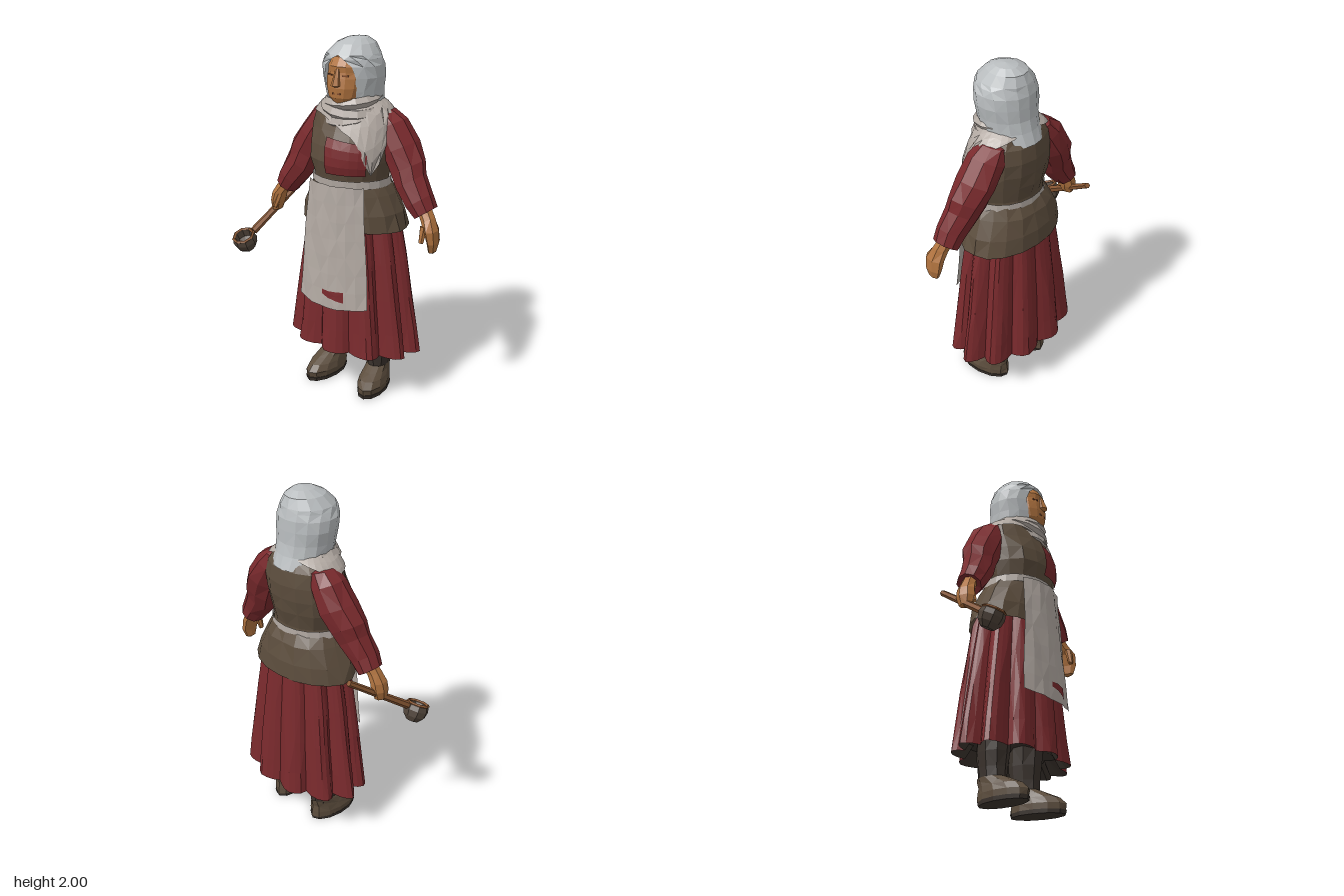
import * as THREE from 'three';

const CX = 0.055; // body axis
const RED = 0x7a2a2d, BROWN = 0x5c4d3d, CLOTH = 0xb3aaa3, HOOD = 0xb9bdbf, SKIN = 0xb0733f, DARK = 0x3b332d, WOOD = 0x8a5834;

const material = (color) =>
  new THREE.MeshStandardMaterial({ color, flatShading: true, side: THREE.DoubleSide });

const noise = (i, j) => {
  const s = Math.sin(i * 127.1 + j * 311.7) * 43758.5453;
  return (s - Math.floor(s)) * 2 - 1;
};

function addMesh(parent, name, geometry, color) {
  const mesh = new THREE.Mesh(geometry, material(color));
  mesh.name = name;
  parent.add(mesh);
  return mesh;
}

// Surface from point(u, v, column, row); u runs to the right, v upwards
function grid(nu, nv, point) {
  const pos = [], index = [];
  for (let i = 0; i <= nv; i++)
    for (let j = 0; j <= nu; j++) pos.push(...point(j / nu, i / nv, j, i));
  for (let i = 0; i < nv; i++)
    for (let j = 0; j < nu; j++) {
      const a = i * (nu + 1) + j, d = a + nu + 1;
      if ((i + j) % 2) index.push(a, a + 1, d + 1, a, d + 1, d);
      else index.push(a, a + 1, d, a + 1, d + 1, d);
    }
  const g = new THREE.BufferGeometry();
  g.setAttribute('position', new THREE.Float32BufferAttribute(pos, 3));
  g.setIndex(index);
  g.computeVertexNormals();
  return g;
}

// Elliptical rings, bottom to top: [y, cx, cz, rx, rz, tilt, frontGap]
function loft(rings, n, jitter = 0.04, shape = () => 1) {
  return grid(n, rings.length - 1, (u, v, j, i) => {
    const [y, cx, cz, rx, rz, tilt = 0, gap = 0] = rings[i];
    const a = gap + (Math.PI * 2 - 2 * gap) * u;
    const k = (1 + jitter * noise(i + 1, j % n)) * shape(a, v);
    const dx = Math.sin(a) * rx * k;
    return [cx + dx, y + dx * tilt, cz + Math.cos(a) * rz * k];
  });
}

const TORSO = [
  [1.18, CX, 0, 0.215, 0.175], [1.27, CX, 0.005, 0.21, 0.178], [1.36, CX, 0.006, 0.232, 0.202],
  [1.44, CX, -0.004, 0.236, 0.203], [1.52, CX, -0.022, 0.235, 0.188], [1.6, CX, -0.035, 0.222, 0.166],
  [1.65, CX, -0.03, 0.175, 0.145], [1.7, CX, -0.02, 0.1, 0.1],
];

// Cloth lying on the torso between angles a0..a1 and heights low(a)..high(a)
function wrap(a0, a1, low, high, offset, nu, nv) {
  return grid(nu, nv, (u, v) => {
    const a = a0 + (a1 - a0) * u, y = low(a) + (high(a) - low(a)) * v;
    let i = 0;
    while (i < TORSO.length - 2 && TORSO[i + 1][0] < y) i++;
    const t = (y - TORSO[i][0]) / (TORSO[i + 1][0] - TORSO[i][0]);
    const [, cx, cz, rx, rz] = TORSO[i].map((p, k) => p + (TORSO[i + 1][k] - p) * t);
    return [cx + Math.sin(a) * (rx + offset), y, cz + Math.cos(a) * (rz + offset)];
  });
}

// Tapered rod between two points
function rod(parent, name, from, to, r0, r1, color) {
  const a = new THREE.Vector3(...from), b = new THREE.Vector3(...to);
  const m = addMesh(parent, name, new THREE.CylinderGeometry(r1, r0, a.distanceTo(b), 6), color);
  m.position.copy(a).lerp(b, 0.5);
  m.quaternion.setFromUnitVectors(new THREE.Vector3(0, 1, 0), b.sub(a).normalize());
}

function buildClothes(g) {
  // Skirt with eleven rounded pleats, sharp valleys and a dark lining above the hem
  const hem = [0.265, CX, -0.035, 0.415, 0.266];
  const pleats = (a, v) => 1 - (0.19 - 0.09 * v) * (1 - Math.abs(Math.cos(5.5 * a)));
  addMesh(g, 'skirt', loft([
    hem, [0.4, CX, -0.035, 0.39, 0.254], [0.6, CX, -0.033, 0.355, 0.24],
    [0.8, CX, -0.03, 0.322, 0.224], [1.0, CX, -0.028, 0.282, 0.206], [1.12, CX, -0.01, 0.235, 0.182],
  ], 66, 0.012, pleats), RED);
  addMesh(g, 'skirtLining', loft([hem, [0.34, CX, -0.035, 0.33, 0.205], [0.38, CX, -0.035, 0, 0]],
    66, 0.012, pleats), DARK);

  // Bodice, blouse opening and flared peplum
  addMesh(g, 'bodice', loft(TORSO, 16, 0.03), BROWN);
  addMesh(g, 'blouseFront', wrap(-0.15, 0.85, () => 1.3, (a) => 1.49 - 0.03 * a, 0.012, 5, 4), RED);
  addMesh(g, 'peplum', loft([
    [0.985, CX, -0.028, 0.32, 0.212], [1.08, CX, -0.025, 0.295, 0.21],
    [1.18, CX, -0.016, 0.25, 0.197], [1.245, CX, 0, 0.215, 0.178],
  ], 18, 0.035), BROWN);

  // Apron with its waistband
  const apronPoint = (u, v, lift = 0) => {
    const s = u * 2 - 1, w = 0.225 - 0.05 * v;
    return [CX + s * w, 0.545 + 0.695 * v + 0.02 * s * s * (1 - v),
      0.245 - 0.032 * v - 0.058 * s * s + 0.005 * Math.sin(s * 9 + v * 7) + lift];
  };
  addMesh(g, 'apron', grid(8, 7, (u, v) => apronPoint(u, v)), CLOTH);
  addMesh(g, 'apronPatch', grid(3, 2, (u, v) =>
    apronPoint(0.42 + 0.3 * u, 0.06 + 0.09 * v + 0.05 * (1 - u) * (1 - v), 0.004)), RED);
  addMesh(g, 'waistband', wrap(0, Math.PI * 2, () => 1.225, () => 1.268, 0.012, 20, 1), CLOTH);
}

function buildHead(g) {
  const head = new THREE.Group();
  head.name = 'head';
  g.add(head);

  // Face with nose, eyes and mouth
  addMesh(head, 'face', loft([
    [1.64, 0.065, 0.06, 0, 0], [1.66, 0.065, 0.085, 0.055, 0.062], [1.7, 0.065, 0.073, 0.09, 0.097],
    [1.75, 0.065, 0.062, 0.107, 0.11], [1.8, 0.065, 0.055, 0.11, 0.11], [1.83, 0.065, 0.05, 0.108, 0.108],
    [1.86, 0.065, 0.045, 0.106, 0.116], [1.905, 0.065, 0.03, 0.085, 0.105], [1.93, 0.065, 0.02, 0, 0],
  ], 14, 0.02), SKIN);
  addMesh(head, 'nose', loft([
    [1.75, 0.065, 0.16, 0, 0], [1.765, 0.065, 0.165, 0.028, 0.036],
    [1.8, 0.065, 0.16, 0.02, 0.026], [1.85, 0.065, 0.155, 0.012, 0.01],
  ], 6, 0), SKIN);
  addMesh(head, 'mouth', new THREE.BoxGeometry(0.05, 0.008, 0.02), 0x7e4a2c).position.set(0.065, 1.722, 0.16);
  for (const s of [-1, 1]) {
    const eye = addMesh(head, 'eye', new THREE.BoxGeometry(0.034, 0.008, 0.02), 0x7e4a2c);
    eye.position.set(0.065 + s * 0.045, 1.815, 0.145);
    eye.rotation.y = s * 0.4;
  }

  // Head scarf, open around the face
  addMesh(head, 'hood', loft([
    [1.605, 0.06, -0.04, 0.16, 0.166, 0, 0.8], [1.67, 0.06, -0.025, 0.15, 0.158, 0, 0.45],
    [1.73, 0.06, -0.012, 0.156, 0.157, 0, 0.52], [1.8, 0.06, -0.008, 0.17, 0.156, 0, 0.6],
    [1.86, 0.06, -0.003, 0.166, 0.157, 0, 0.5], [1.895, 0.06, 0, 0.152, 0.152, 0, 0.25],
    [1.915, 0.06, -0.002, 0.142, 0.147], [1.965, 0.065, -0.015, 0.1, 0.112],
    [1.99, 0.075, -0.02, 0.055, 0.065], [2.0, 0.08, -0.02, 0, 0],
  ], 14, 0.015), HOOD);

  // Folds wound round the neck, hanging lower in front
  for (const [y, z, r, tube, tilt, roll] of [
    [1.675, 0.012, 0.13, 0.03, 0.1, 0.08], [1.64, 0.005, 0.145, 0.034, 0.2, -0.12], [1.61, 0.006, 0.148, 0.03, 0.32, 0.1],
  ]) {
    const fold = addMesh(head, 'neckFold', new THREE.TorusGeometry(r, tube, 5, 14), CLOTH);
    fold.position.set(0.065, y, z);
    fold.rotation.set(Math.PI / 2 + tilt, roll, 0);
    fold.scale.y = 0.95;
  }

  // Shawl over the shoulders, with a tail hanging on the left of the chest
  const hem = (a) => 1.63 - 0.1 * Math.max(0, Math.cos(a - 0.4)) ** 4 + 0.055 * Math.max(0, -Math.cos(a))
    - 0.04 * Math.abs(Math.sin(a)) - 0.25 * Math.exp(-(((a - 1.02) / 0.34) ** 2));
  addMesh(head, 'shawl', wrap(-Math.PI, Math.PI, hem, () => 1.69, 0.014, 32, 5), CLOTH);
}

function buildArm(g, s) {
  const arm = new THREE.Group();
  arm.name = s > 0 ? 'leftArm' : 'rightArm';
  g.add(arm);
  // Places rings given as distance from the body axis
  const side = (rings) => rings.map(([y, d, z, rx, rz, tilt = 0]) => [y, CX + s * d, z, rx, rz, s * tilt]);
  addMesh(arm, 'sleeve', loft(side([
    [1.14, 0.44, -0.015, 0, 0], [1.115, 0.455, -0.012, 0.054, 0.072, 0.7], [1.175, 0.415, -0.012, 0.066, 0.078, 0.7],
    [1.265, 0.352, -0.03, 0.08, 0.087, 0.65], [1.335, 0.325, -0.045, 0.09, 0.097, 0.55],
    [1.43, 0.27, -0.06, 0.09, 0.108, 0.5], [1.54, 0.2, -0.065, 0.085, 0.103, 0.5],
    [1.61, 0.155, -0.062, 0.06, 0.08, 0.25], [1.64, 0.13, -0.06, 0, 0],
  ]), 9, 0.06), RED);

  if (s > 0) {
    // Relaxed hand
    addMesh(arm, 'hand', loft(side([
      [0.91, 0.52, 0.02, 0, 0], [0.925, 0.52, 0.022, 0.018, 0.035], [0.975, 0.522, 0.02, 0.027, 0.055],
      [1.04, 0.508, 0.018, 0.036, 0.06], [1.09, 0.48, 0.005, 0.034, 0.045, 0.4], [1.15, 0.44, -0.01, 0.032, 0.04, 0.6],
    ]), 7, 0.05), SKIN);
    rod(arm, 'thumb', [0.535, 1.06, 0.05], [0.53, 0.975, 0.068], 0.022, 0.014, SKIN);
  } else {
    // Fist round the ladle
    addMesh(arm, 'hand', loft(side([
      [0.945, 0.515, 0.015, 0, 0], [0.96, 0.515, 0.015, 0.026, 0.04], [1.01, 0.51, 0.01, 0.04, 0.055],
      [1.06, 0.5, 0.005, 0.042, 0.052], [1.1, 0.475, 0, 0.034, 0.042, 0.4], [1.15, 0.44, -0.01, 0.032, 0.04, 0.6],
    ]), 7, 0.05), SKIN);
    rod(arm, 'thumb', [-0.43, 1.05, 0.03], [-0.445, 0.98, 0.06], 0.02, 0.013, SKIN);
  }
}

function buildLadle(g) {
  const ladle = new THREE.Group();
  ladle.name = 'ladle';
  g.add(ladle);
  rod(ladle, 'ladleHandle', [-0.51, 0.855, 0.18], [-0.405, 1.11, -0.18], 0.022, 0.017, WOOD);
  // Round bowl, its open top tipped forward
  const scoop = new THREE.Group();
  scoop.name = 'ladleScoop';
  scoop.position.set(-0.532, 0.808, 0.228);
  scoop.rotation.x = 0.45;
  ladle.add(scoop);
  const profile = [[0, -0.065], [0.035, -0.06], [0.062, -0.03], [0.07, 0.005], [0.062, 0.038], [0.052, 0.035], [0.045, -0.005], [0, -0.03]]
    .map(([x, y]) => new THREE.Vector2(x, y));
  addMesh(scoop, 'ladleBowl', new THREE.LatheGeometry(profile, 8), 0x50443a);
  const rim = addMesh(scoop, 'ladleRim', new THREE.TorusGeometry(0.059, 0.009, 4, 8), WOOD);
  rim.position.y = 0.038;
  rim.rotation.x = Math.PI / 2;
}

function buildLeg(g, x, turn) {
  const leg = new THREE.Group();
  leg.name = x > 0 ? 'leftLeg' : 'rightLeg';
  leg.position.set(x, 0, -0.04);
  leg.rotation.y = turn;
  g.add(leg);
  addMesh(leg, 'sole', loft([
    [0, 0, 0.06, 0, 0], [0, 0, 0.06, 0.077, 0.155], [0.022, 0, 0.06, 0.08, 0.16], [0.022, 0, 0.06, 0, 0],
  ], 12, 0), DARK);
  addMesh(leg, 'boot', loft([
    [0.02, 0, 0.06, 0.078, 0.157], [0.055, 0, 0.06, 0.08, 0.157], [0.09, 0, 0.044, 0.072, 0.138],
    [0.115, 0, 0.015, 0.066, 0.11], [0.14, 0, -0.012, 0.063, 0.086],
  ], 12, 0.04), BROWN);
  addMesh(leg, 'stocking', loft([
    [0.12, 0, -0.012, 0.06, 0.082], [0.19, 0, -0.014, 0.067, 0.085], [0.27, 0, -0.012, 0.08, 0.094],
    [0.37, 0, -0.005, 0.085, 0.095],
  ], 9, 0.04), DARK);
}

export function createModel() {
  const model = new THREE.Group();
  model.name = 'villageCook';
  buildClothes(model);
  buildHead(model);
  for (const s of [-1, 1]) buildArm(model, s);
  buildLadle(model);
  buildLeg(model, -0.105, -0.1);
  buildLeg(model, 0.21, 0.18);
  return model;
}
